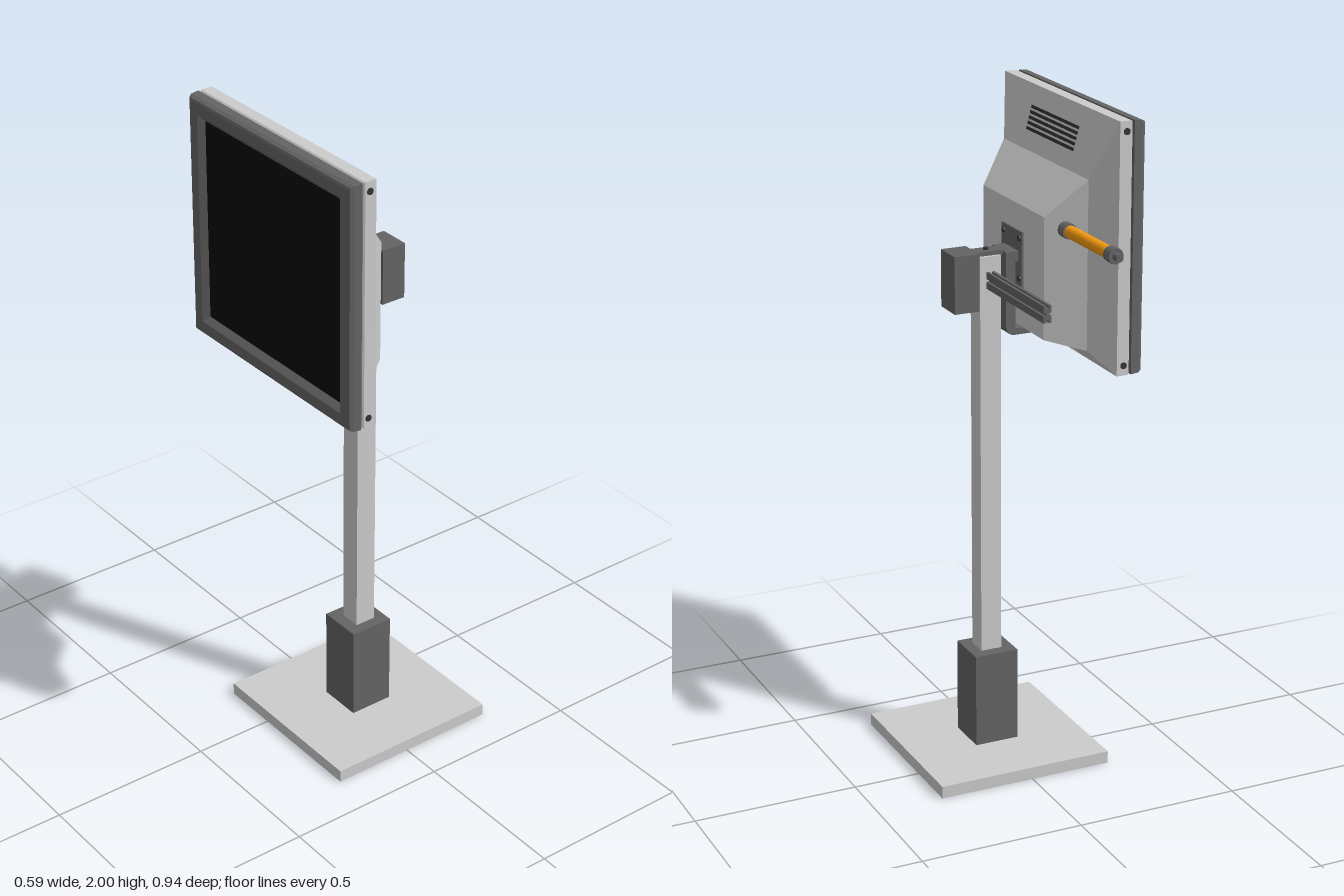
import * as THREE from 'three';

const material = (color) => new THREE.MeshStandardMaterial({ color });
const grey = material(0xcccccc);
const dark = material(0x646464);
const charcoal = material(0x333333);
const black = material(0x080808);
const orange = material(0xf59a10);

function add(parent, name, geometry, mat) {
  const mesh = new THREE.Mesh(geometry, mat);
  mesh.name = name;
  parent.add(mesh);
  return mesh;
}

// Box given by its min and max on each axis
function box(parent, name, mat, [x0, x1], [y0, y1], [z0, z1]) {
  const mesh = add(parent, name, new THREE.BoxGeometry(x1 - x0, y1 - y0, z1 - z0), mat);
  mesh.position.set((x0 + x1) / 2, (y0 + y1) / 2, (z0 + z1) / 2);
  return mesh;
}

// Cylinder lying along z
function rod(parent, name, mat, x, y, [z0, z1], radius, sides = 24) {
  const geometry = new THREE.CylinderGeometry(radius, radius, z1 - z0, sides);
  geometry.rotateX(Math.PI / 2);
  const mesh = add(parent, name, geometry, mat);
  mesh.position.set(x, y, (z0 + z1) / 2);
  return mesh;
}

// Flat-faced loft along +x; each ring is a rectangle with a notch in its lower edge
function loft(rings) {
  const half = 0.147;
  const loops = rings.map(([x, w, top, bottom, notch = bottom]) => [
    [x, bottom, w], [x, bottom, half], [x, notch, half], [x, notch, -half],
    [x, bottom, -half], [x, bottom, -w], [x, top, -w], [x, top, w],
  ]);
  const out = [];
  const tri = (...corners) => corners.forEach((p) => out.push(...p));
  for (let r = 0; r < loops.length - 1; r++) {
    const a = loops[r];
    const b = loops[r + 1];
    for (let i = 0; i < 8; i++) {
      const j = (i + 1) % 8;
      tri(a[i], a[j], b[j]);
      tri(a[i], b[j], b[i]);
    }
  }
  const first = loops[0];
  const last = loops[loops.length - 1];
  for (let i = 0; i < 6; i++) {
    tri(last[7], last[i], last[i + 1]);
    tri(first[7], first[i + 1], first[i]);
  }
  const geometry = new THREE.BufferGeometry();
  geometry.setAttribute('position', new THREE.Float32BufferAttribute(out, 3));
  geometry.computeVertexNormals();
  return geometry;
}

function createMonitor() {
  const monitor = new THREE.Group();
  monitor.name = 'monitor';
  monitor.position.set(0, 1.6325, 0.1);
  const W = 0.37;
  const H = 0.3675;

  // Stepped rear housing with a connector recess underneath
  add(monitor, 'rearHousing', loft([
    [-0.255, W - 0.004, H - 0.004, -H + 0.004],
    [-0.251, W, H, -H],
    [-0.215, W, H, -H],
    [-0.215, W, H, -H, -0.2875],
    [-0.167, 0.276, 0.1875, -0.3125, -0.2875],
    [-0.066, 0.203, 0.0735, -0.2875],
  ]), grey);

  // Front frame, chamfered outside and sloping in to the screen
  const ring = (x, inset) => [x, W - inset, H - inset, -H + inset];
  const bezel = add(monitor, 'bezel', loft([
    ring(0.26, 0), ring(0.285, 0.002), ring(0.295, 0.007), ring(0.298, 0.014),
    ring(0.298, 0.045), ring(0.281, 0.064),
  ]), dark);
  bezel.rotation.y = Math.PI;
  box(monitor, 'screen', black, [-0.283, -0.27], [-H + 0.064, H - 0.064], [-W + 0.064, W - 0.064]);
  box(monitor, 'seam', charcoal, [-0.262, -0.253], [-H + 0.012, H - 0.012], [-W + 0.012, W - 0.012]);

  // Cooling slots on the upper slope
  for (let i = 0; i < 5; i++) {
    const y = 0.245 + i * 0.0153;
    const slot = add(monitor, 'ventSlot', new THREE.BoxGeometry(0.004, 0.009, 0.305), charcoal);
    slot.position.set(-0.215 + ((H - y) / 0.18) * 0.048, y, 0);
    slot.rotation.z = 0.26;
  }

  // Side screws
  for (const side of [-1, 1]) {
    for (const end of [-1, 1]) {
      rod(monitor, 'sideScrew', charcoal, -0.236, end * 0.338,
        [side * W - 0.002, side * W + 0.002], 0.01, 16);
    }
  }
  return monitor;
}

function createBracket() {
  const bracket = new THREE.Group();
  bracket.name = 'monitorBracket';
  // Plate and screws on the back of the monitor
  box(bracket, 'mountPlate', dark, [-0.068, -0.06], [1.46, 1.63], [0.03, 0.165]);
  for (const y of [1.49, 1.61]) {
    for (const z of [0.045, 0.15]) {
      const screw = rod(bracket, 'plateScrew', charcoal, -0.059, y, [z - 0.003, z + 0.003], 0.008, 16);
      screw.rotation.y = Math.PI / 2;
    }
  }
  // Arm with a rounded elbow leading to the foot under the monitor
  const arm = new THREE.Shape();
  arm.moveTo(-0.02, 1.57);
  arm.lineTo(-0.065, 1.57);
  arm.lineTo(-0.065, 1.54);
  arm.lineTo(-0.05, 1.54);
  arm.lineTo(-0.05, 1.34);
  arm.lineTo(-0.175, 1.333);
  arm.lineTo(-0.175, 1.32);
  arm.lineTo(-0.045, 1.32);
  arm.quadraticCurveTo(-0.02, 1.322, -0.02, 1.35);
  const armGeometry = new THREE.ExtrudeGeometry(arm, { depth: 0.095, bevelEnabled: false });
  add(bracket, 'arm', armGeometry, dark).position.z = 0.05;
  // Strap over the post
  box(bracket, 'topStrap', dark, [-0.03, 0.07], [1.558, 1.573], [0.076, 0.122]);
  const bolt = add(bracket, 'topBolt', new THREE.CylinderGeometry(0.008, 0.008, 0.008, 16), charcoal);
  bolt.position.set(0.022, 1.575, 0.099);
  return bracket;
}

// Slotted profile bar reaching backwards
function createRail() {
  const w = 0.0125;
  const h = 0.025;
  const quarter = [[w, 0.004], [w, h], [0.004, h], [0.004, h - 0.008]];
  const inner = [[w - 0.007, 0.004]];
  const corner = [...inner, ...quarter];
  const flip = (sx, sy) => corner.map(([x, y]) => new THREE.Vector2(x * sx, y * sy));
  const points = [
    ...flip(1, 1), ...flip(-1, 1).reverse(), ...flip(-1, -1), ...flip(1, -1).reverse(),
  ];
  return new THREE.ExtrudeGeometry(new THREE.Shape(points), { depth: 0.375, bevelEnabled: false });
}

function createLamp() {
  const lamp = new THREE.Group();
  lamp.name = 'signalTube';
  const x = -0.115;
  const y = 1.675;
  rod(lamp, 'tube', orange, x, y, [-0.412, -0.165], 0.0185, 32);
  rod(lamp, 'core', charcoal, x, y, [-0.44, -0.13], 0.015);
  rod(lamp, 'tip', dark, x, y, [-0.47, -0.44], 0.011);
  for (const z of [-0.446, -0.428, -0.168, -0.15]) {
    rod(lamp, 'ringNut', dark, x, y, [z, z + 0.015], 0.023, 12);
  }
  return lamp;
}

export function createModel() {
  const model = new THREE.Group();
  model.name = 'monitorStand';

  // Stand
  box(model, 'basePlate', grey, [-0.252, 0.295], [0, 0.038], [-0.178, 0.37]);
  box(model, 'socket', dark, [-0.048, 0.09], [0.038, 0.33], [0.029, 0.166]);
  box(model, 'post', grey, [-0.011, 0.055], [0.33, 1.56], [0.066, 0.132]);

  model.add(createMonitor(), createBracket(), createLamp());

  // Control box behind the post
  box(model, 'controlBox', dark, [0.064, 0.142], [1.405, 1.576], [0.05, 0.146]);

  // Rail and its clamp through the post
  add(model, 'rail', createRail(), dark).position.set(0.022, 1.49, -0.307);
  box(model, 'railClamp', grey, [0.006, 0.038], [1.465, 1.475], [0.13, 0.156]);
  for (const x of [0.006, 0.032]) {
    box(model, 'clampJaw', grey, [x, x + 0.006], [1.475, 1.508], [0.13, 0.156]);
  }
  return model;
}
